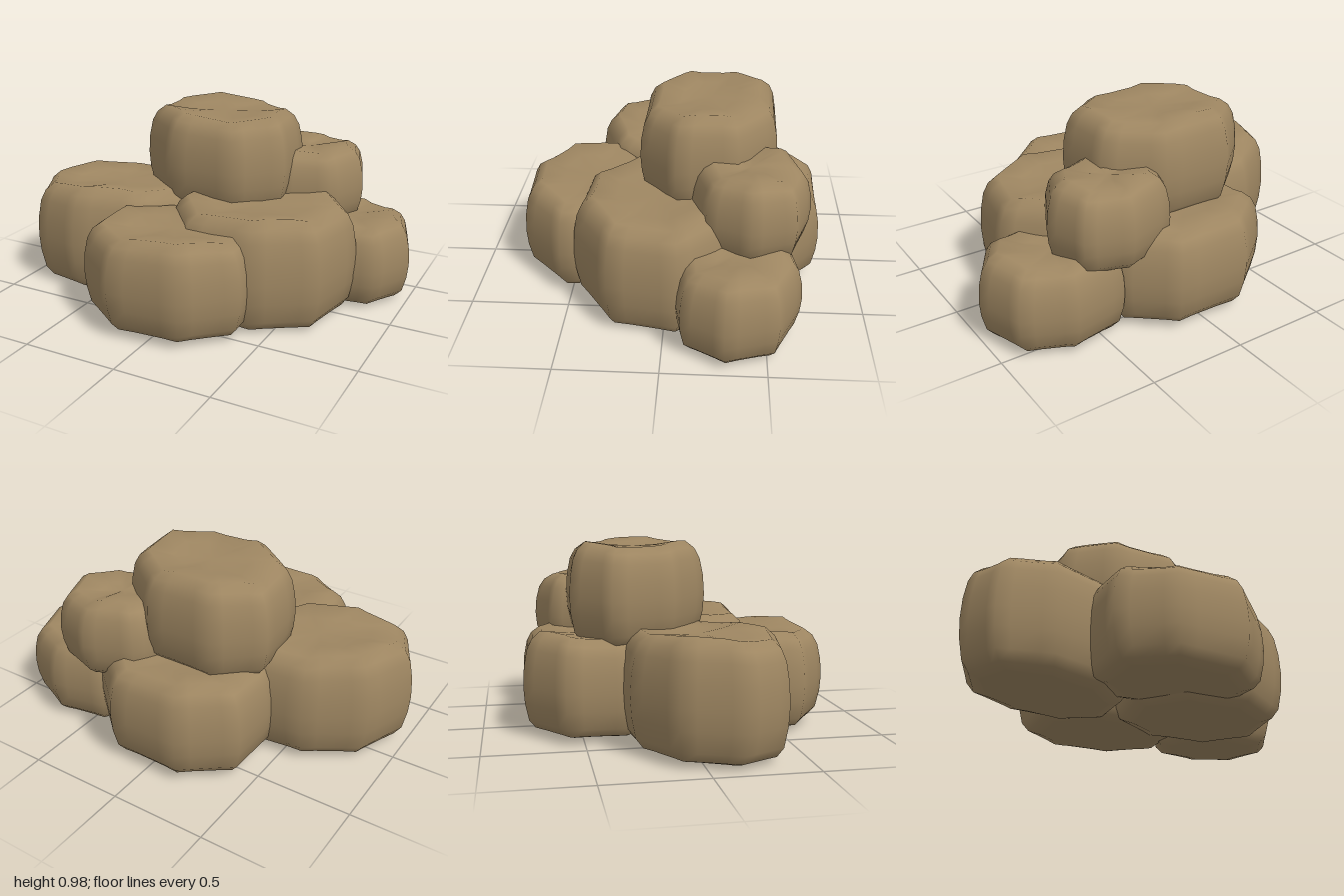
import * as THREE from 'three';

// Each boulder: centre, half widths, floor and top heights, number of sides,
// and the turn and slant (degrees) of its outline.
const BOULDERS = [
  { name: 'leftBoulder', x: -0.525, z: 0.05, rx: 0.475, rz: 0.39, y0: 0.01, y1: 0.58, sides: 9, turn: 20, slant: 15 },
  { name: 'frontBoulder', x: -0.007, z: 0.42, rx: 0.432, rz: 0.367, y0: 0.02, y1: 0.515, sides: 8, turn: 25, slant: 3 },
  { name: 'middleBoulder', x: 0.31, z: 0.06, rx: 0.47, rz: 0.41, y0: 0, y1: 0.575, sides: 8, turn: 12, slant: 5 },
  { name: 'rightBoulder', x: 0.635, z: -0.347, rx: 0.365, rz: 0.318, y0: 0.005, y1: 0.445, sides: 8, turn: -5, slant: -3 },
  { name: 'backBoulder', x: -0.02, z: -0.42, rx: 0.44, rz: 0.37, y0: 0.02, y1: 0.525, sides: 8, turn: 21, slant: 0 },
  { name: 'upperRightBoulder', x: 0.365, z: -0.41, rx: 0.325, rz: 0.295, y0: 0.36, y1: 0.775, sides: 8, turn: -5, slant: 5 },
  { name: 'topBoulder', x: -0.037, z: -0.205, rx: 0.423, rz: 0.35, y0: 0.47, y1: 0.97, sides: 8, turn: -18, slant: -6 },
];

// [inset from the outline, share of the height]
const PROFILE = [
  [0.125, 0], [0.065, 0.035], [0.028, 0.12], [0.007, 0.3], [0, 0.47], [0.006, 0.66],
  [0.024, 0.83], [0.052, 0.93], [0.1, 1],
];

// Slightly squared-off sine, for fuller corners
const fullSin = (degrees) => {
  const s = Math.sin(THREE.MathUtils.degToRad(degrees));
  return Math.sign(s) * Math.abs(s) ** 0.92;
};

// Points around the centre, anticlockwise seen from above
function makeOutline({ rx, rz, sides, turn, slant }) {
  const corners = Array.from({ length: sides }, (_, i) => {
    const a = turn + (i * 360) / sides;
    return new THREE.Vector2(fullSin(a + 90), -fullSin(a + slant));
  });
  const maxX = Math.max(...corners.map((c) => Math.abs(c.x)));
  const maxZ = Math.max(...corners.map((c) => Math.abs(c.y)));
  corners.forEach((c) => c.set((c.x / maxX) * rx, (c.y / maxZ) * rz));
  // Extra points along each side keep the faces flat and the corners narrow
  return corners.flatMap((c, i) => {
    const next = corners[(i + 1) % sides];
    return [c, c.clone().lerp(next, 0.25), c.clone().lerp(next, 0.75)];
  });
}

function boulderGeometry(boulder) {
  const { x: cx, z: cz, y0, y1, turn } = boulder;
  const outline = makeOutline(boulder);
  const n = outline.length;
  const pos = [];
  const index = [];
  const wobble = (i) => 0.012 * Math.sin((i / n) * Math.PI * 6 + turn);

  // Ring of the outline pulled towards the centre by a distance
  const addRing = (inset, height) => {
    outline.forEach((p, i) => {
      const k = 1 - inset / p.length();
      pos.push(cx + p.x * k, height(i), cz + p.y * k);
    });
  };

  // Bulging sides with a rounded shoulder, then a slightly sunken top
  for (const [inset, t] of PROFILE) addRing(inset, (i) => y0 + (y1 - y0) * t + wobble(i) * t * t);
  addRing(0.22, (i) => y1 - 0.014 + wobble(i) * 0.5);
  for (let j = 0; j < PROFILE.length; j++) {
    for (let i = 0; i < n; i++) {
      const a = j * n + i, b = j * n + (i + 1) % n;
      index.push(a, b, b + n, a, b + n, a + n);
    }
  }
  const last = PROFILE.length * n;
  pos.push(cx, y1 - 0.022, cz);
  for (let i = 0; i < n; i++) index.push(last + i, last + (i + 1) % n, last + n);

  // Flat underside with its own corners for a crisp edge
  const under = last + n + 1;
  addRing(PROFILE[0][0], () => y0);
  pos.push(cx, y0, cz);
  for (let i = 0; i < n; i++) index.push(under + (i + 1) % n, under + i, under + n);

  const geometry = new THREE.BufferGeometry();
  geometry.setAttribute('position', new THREE.Float32BufferAttribute(pos, 3));
  geometry.setIndex(index);
  geometry.computeVertexNormals();
  return geometry;
}

export function createModel() {
  const group = new THREE.Group();
  group.name = 'boulderPile';
  const stone = new THREE.MeshStandardMaterial({ color: 0x9f8762 });
  stone.name = 'sandyStone';
  for (const boulder of BOULDERS) {
    const mesh = new THREE.Mesh(boulderGeometry(boulder), stone);
    mesh.name = boulder.name;
    group.add(mesh);
  }
  return group;
}
